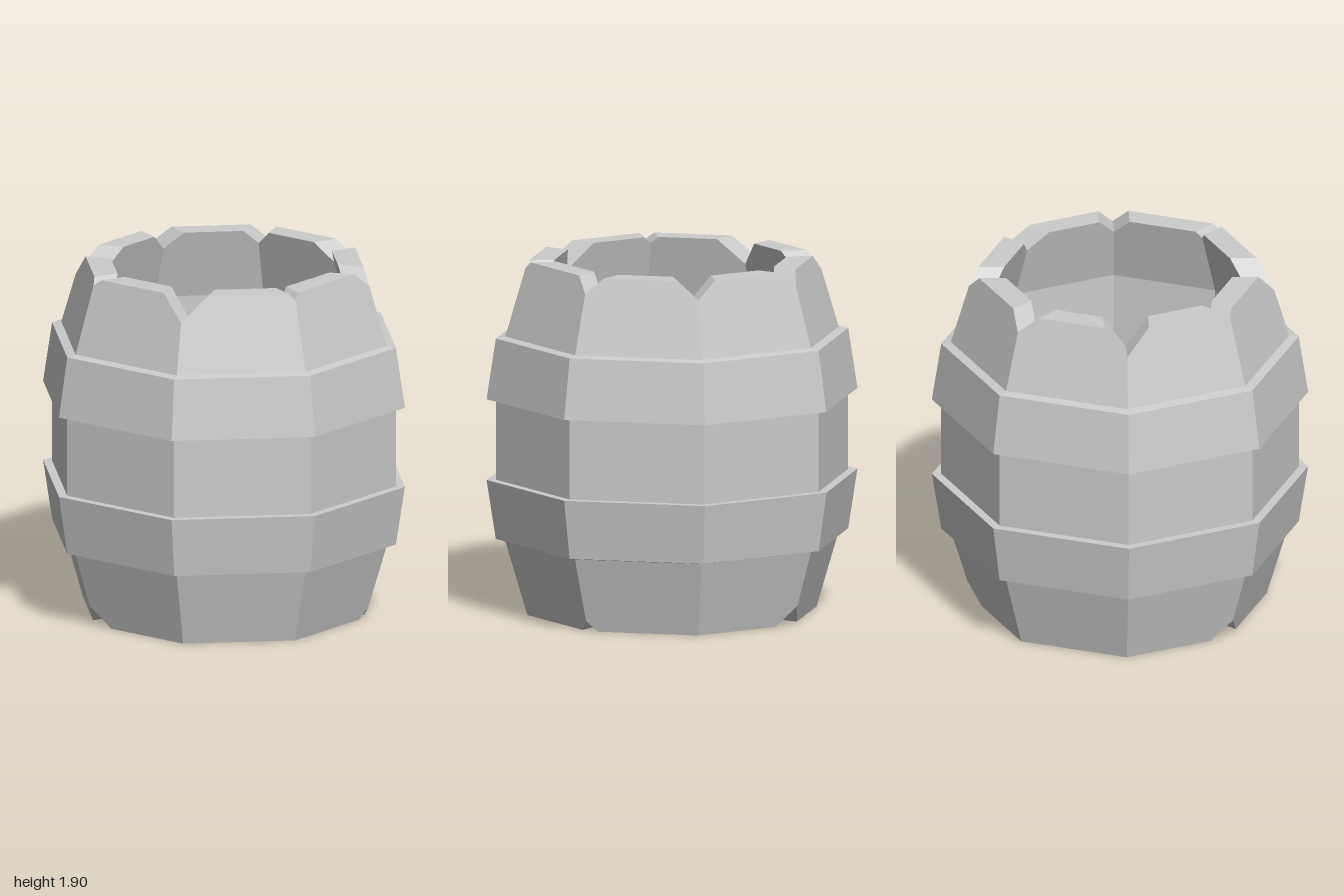
import * as THREE from 'three';

const HEIGHT = 1.905;
const SIDES = 8;

// One entry per corner, starting at the front and turning towards +x: [half width, depth]
const TOP_CHIPS = [[0.12, 0.135], [0.03, 0.035], [0.08, 0.085], [0.1, 0.095],
  [0.07, 0.075], [0.09, 0.09], [0.12, 0.135], [0.04, 0.035]];
const BOTTOM_CHIPS = [[0, 0], [0, 0], [0.05, 0.06], [0, 0],
  [0.1, 0.105], [0, 0], [0, 0], [0.1, 0.11]];

function corner(k, r, y) {
  const a = (k % SIDES) * Math.PI * 2 / SIDES;
  return new THREE.Vector3(Math.sin(a) * r, y, Math.cos(a) * r);
}

// Point on the octagon edge from corner k to corner `to`, w away from the corner's radial line
function beside(k, to, r, y, w) {
  const p = corner(k, r, y);
  const dir = corner(to, r, y).sub(p).normalize();
  return p.addScaledVector(dir, w / Math.cos(Math.PI / SIDES));
}

// Tapered stave wall at one end: outer face, chipped rim and inner face
function endGeometry(chips, innerDepth, innerRadius, isBottom) {
  const pos = [];
  const out = (d) => 0.78 + d * 0.12 / 0.405;
  const inn = (d) => 0.64 + d * (innerRadius - 0.64) / innerDepth;
  const fan = (...pts) => {
    for (let i = 1; i < pts.length - 1; i++) {
      const tri = [pts[0], pts[i], pts[i + 1]];
      if (new THREE.Triangle(...tri).getArea() < 1e-7) continue;
      if (isBottom) tri.reverse();
      tri.forEach((p) => pos.push(p.x, isBottom ? HEIGHT - p.y : p.y, p.z));
    }
  };
  for (let a = 0; a < SIDES; a++) {
    const b = (a + 1) % SIDES;
    const [wa, da] = chips[a];
    const [wb, db] = chips[b];
    // Upper outline of a stave wall: chip point, rim, rim, chip point
    const outline = (radius) => [
      corner(a, radius(da), HEIGHT - da),
      beside(a, b, radius(0), HEIGHT, wa),
      beside(b, a, radius(0), HEIGHT, wb),
      corner(b, radius(db), HEIGHT - db),
    ];
    const o = outline(out);
    const n = outline(inn);
    const innerY = HEIGHT - innerDepth;
    fan(corner(a, 0.9, 1.5), corner(b, 0.9, 1.5), o[3], o[2], o[1], o[0]);
    fan(corner(b, innerRadius, innerY), corner(a, innerRadius, innerY), ...n);
    for (let i = 0; i < 3; i++) fan(o[i], o[i + 1], n[i + 1], n[i]);
  }
  const geo = new THREE.BufferGeometry();
  geo.setAttribute('position', new THREE.Float32BufferAttribute(pos, 3));
  geo.computeVertexNormals();
  return geo;
}

function ringGeometry(profile) {
  const pts = profile.map(([r, y]) => new THREE.Vector2(r, y));
  const geo = new THREE.LatheGeometry(pts, SIDES).toNonIndexed();
  geo.computeVertexNormals();
  return geo;
}

export function createModel() {
  const group = new THREE.Group();
  const material = new THREE.MeshStandardMaterial({ color: 0xcccccc, flatShading: true });
  const add = (name, geo) => {
    const mesh = new THREE.Mesh(geo, material);
    mesh.name = name;
    group.add(mesh);
  };

  // Belly of the barrel
  add('belly', ringGeometry([[0.9, 0.405], [0.95, 0.735], [0.95, 1.17], [0.9, 1.5]]));

  // Hoops, widest towards the middle
  add('lowerHoop', ringGeometry([[0.9, 0.405], [0.95, 0.415], [1, 0.735], [0.95, 0.735]]));
  add('upperHoop', ringGeometry([[0.95, 1.17], [1, 1.17], [0.95, 1.495], [0.9, 1.505]]));

  // Chipped ends, their inner faces widening away from the rim
  add('topEnd', endGeometry(TOP_CHIPS, 0.375, 0.75, false));
  add('bottomEnd', endGeometry(BOTTOM_CHIPS, 0.19, 0.69, true));

  // Deep hollow with its floor, and the recessed underside
  add('hollow', ringGeometry([[0.75, 1.53], [0.74, 0.75], [0.54, 0.22], [0, 0.22]]));
  add('underside', ringGeometry([[0, 0.19], [0.69, 0.19]]));

  return group;
}
